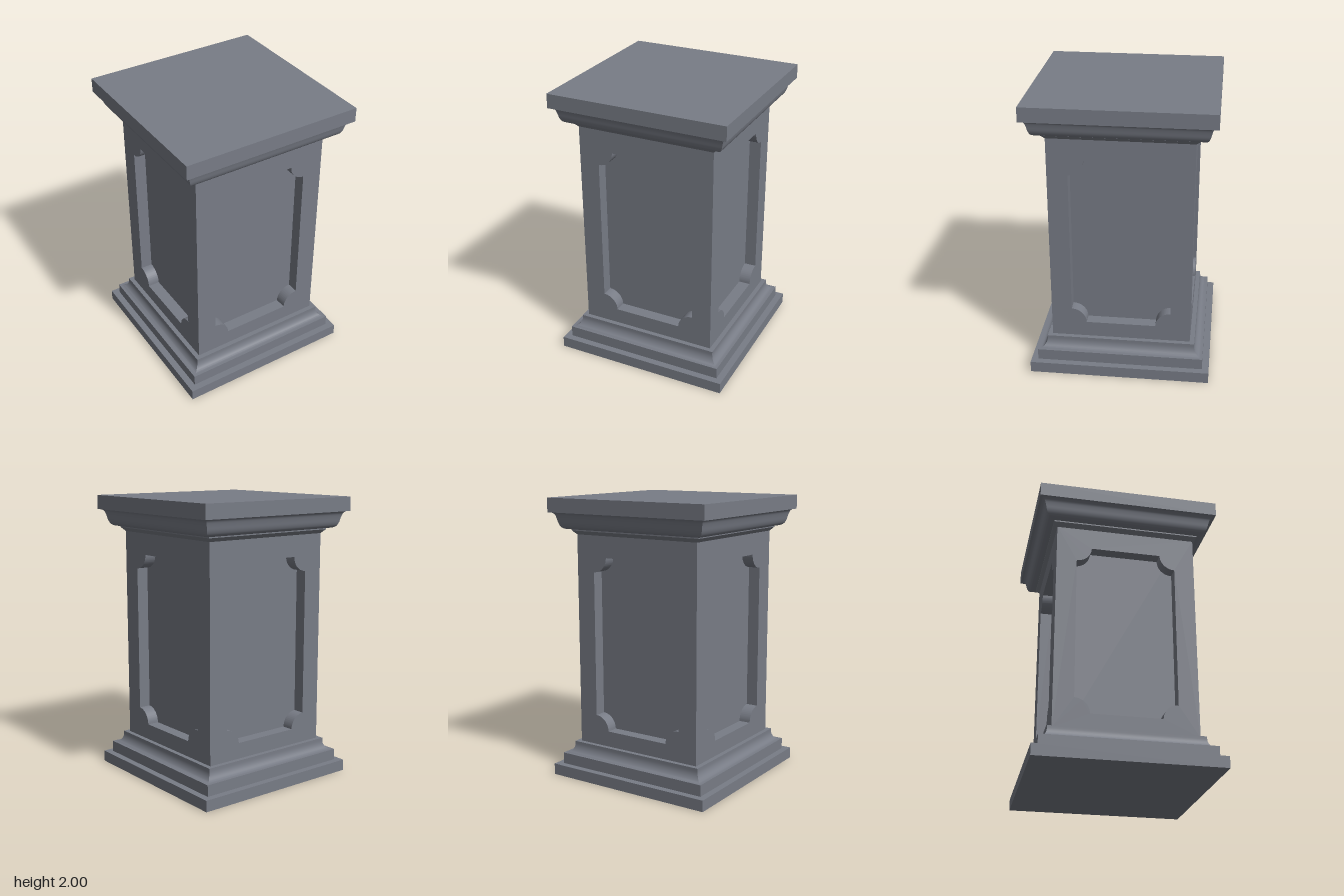
import * as THREE from 'three';
import { toCreasedNormals } from 'three/addons/utils/BufferGeometryUtils.js';

const SHAFT = 0.492, RECESS = 0.085;

export function createModel() {
  const group = new THREE.Group();
  const stone = new THREE.MeshStandardMaterial({ color: 0x787c86 });
  stone.name = 'grey stone';

  const add = (name, geometry) => {
    const mesh = new THREE.Mesh(geometry, stone);
    mesh.name = name;
    group.add(mesh);
    return mesh;
  };

  // Square moulding: profile of [half width, height], swept around four sides
  const moulding = (name, profile) => {
    const points = profile.map(([w, y]) => new THREE.Vector2(w * Math.SQRT2, y));
    return add(name, toCreasedNormals(new THREE.LatheGeometry(points, 4, Math.PI / 4), 0.6));
  };

  // Stepped base with a hollow cove
  const cove = [];
  for (let i = 0; i <= 10; i++) {
    const a = (i / 10) * Math.PI / 2;
    cove.push([0.575 - 0.05 * Math.sin(a), 0.225 - 0.065 * Math.cos(a)]);
  }
  moulding('base', [
    [0, 0], [0.635, 0], [0.635, 0.08], [0.587, 0.08], [0.587, 0.16],
    ...cove, [0.525, 0.243], [0, 0.243],
  ]);

  // Cap with an S-curved underside
  const curve = new THREE.SplineCurve([
    [0.525, 1.781], [0.55, 1.785], [0.569, 1.797], [0.582, 1.822],
    [0.59, 1.855], [0.6, 1.885], [0.617, 1.9],
  ].map(([x, y]) => new THREE.Vector2(x, y))).getPoints(18).map((p) => [p.x, p.y]);
  moulding('cap', [
    [0, 1.745], [0.492, 1.745], [0.518, 1.772], [0.518, 1.781],
    ...curve, [0.635, 1.9], [0.635, 2], [0, 2],
  ]);

  // Shaft core, whose faces are the sunken panels
  const inner = SHAFT - RECESS;
  const core = add('panelCore', new THREE.BoxGeometry(inner * 2, 1.52, inner * 2));
  core.position.y = 0.995;

  // Panel frame with scooped corners
  const frame = new THREE.Shape();
  frame.moveTo(-SHAFT, 0.24);
  frame.lineTo(SHAFT, 0.24);
  frame.lineTo(SHAFT, 1.75);
  frame.lineTo(-SHAFT, 1.75);
  frame.closePath();
  const [w, bottom, top, r] = [0.35, 0.355, 1.595, 0.105];
  const q = Math.PI / 2;
  const opening = new THREE.Path();
  opening.moveTo(-w, bottom + r);
  opening.absarc(-w, bottom, r, q, 0, true);
  opening.absarc(w, bottom, r, 2 * q, q, true);
  opening.absarc(w, top, r, 3 * q, 2 * q, true);
  opening.absarc(-w, top, r, 4 * q, 3 * q, true);
  opening.closePath();
  frame.holes.push(opening);
  const frameGeometry = new THREE.ExtrudeGeometry(frame, { depth: RECESS, bevelEnabled: false, curveSegments: 12 });

  // Mitre the frame's back edges so the four sides meet at the corners
  const pos = frameGeometry.attributes.position;
  for (let i = 0; i < pos.count; i++) {
    if (pos.getZ(i) < 0.001 && Math.abs(pos.getX(i)) > 0.4) pos.setX(i, Math.sign(pos.getX(i)) * inner);
  }
  frameGeometry.translate(0, 0, inner);
  const creased = toCreasedNormals(frameGeometry, 0.6);
  ['front', 'left', 'back', 'right'].forEach((side, i) => {
    add(side + 'PanelFrame', creased).rotation.y = i * Math.PI / 2;
  });

  return group;
}
